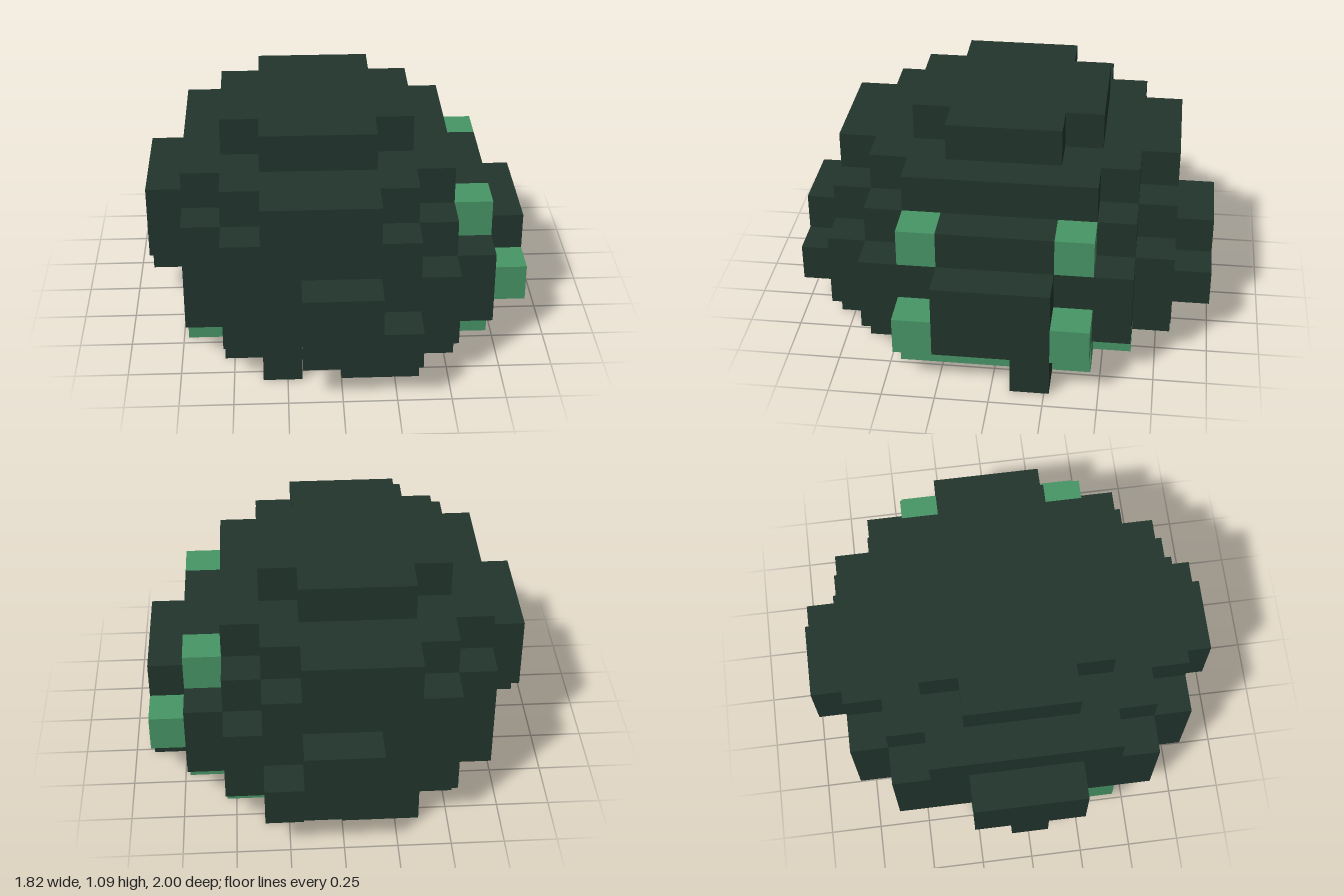
import * as THREE from 'three';
import { mergeGeometries } from 'three/addons/utils/BufferGeometryUtils.js';

const U = 2 / 11; // edge of one block

// Floor plans from the ground up: rows run back to front, columns from -x to +x.
// '#' is a dark block, 'o' a green one, '.' is empty.
const EMPTY = '..........';
const LAYERS = [
  ['footRing', [
    EMPTY, '...##.#...', '..#....o..', '........o.', '.o......o#', '.#......o.',
    '.#......o.', '.o......o.', '..#....#..', '...#.##...', EMPTY]],
  ['lowerWall', [
    '....###...', '..######..', '.##....##.', '.#......#o', '.#......##', '##......##',
    '.#......##', '.#......#o', '.##..o.##.', '..######..', '....###...']],
  ['middleBody', [
    '....##....', '..######..', '.########.', '.########.', '##########', '##########',
    '##########', '.########.', '.########.', '..######..', '....##....']],
  ['upperBody', [
    EMPTY, '..#####...', '.#######..', '.#######o.', '#########.', '#########.',
    '#########.', '.#######o.', '.#######..', '..#####...', EMPTY]],
  ['shoulder', [
    EMPTY, '...###....', '..#####...', '.#######..', '.#######..', '.#######..',
    '.#######..', '.#######..', '..#####...', '...###....', EMPTY]],
  ['crown', [
    EMPTY, EMPTY, EMPTY, '...###....', '..#####...', '..#####...',
    '..#####...', '...###....', EMPTY, EMPTY, EMPTY]],
];

const blockAt = (x, y, z) => LAYERS[y]?.[1][z]?.[x] ?? '.';

// One outward square for each side of a block
const SIDES = [
  [1, 0, 0], [-1, 0, 0], [0, 1, 0], [0, -1, 0], [0, 0, 1], [0, 0, -1],
].map(([x, y, z]) => {
  const face = new THREE.PlaneGeometry(U, U);
  if (x) face.rotateY(x * Math.PI / 2);
  if (y) face.rotateX(-y * Math.PI / 2);
  if (z < 0) face.rotateY(Math.PI);
  face.translate(x * U / 2, y * U / 2, z * U / 2);
  return { x, y, z, face };
});

// Outer skin of all blocks of one kind in one layer
function skin(y, kind) {
  const faces = [];
  for (let z = 0; z < 11; z++) {
    for (let x = 0; x < 10; x++) {
      if (blockAt(x, y, z) !== kind) continue;
      for (const s of SIDES) {
        if (blockAt(x + s.x, y + s.y, z + s.z) !== '.') continue;
        faces.push(s.face.clone().translate((x - 4.5) * U, (y + 0.5) * U, (z - 5) * U));
      }
    }
  }
  return faces.length ? mergeGeometries(faces) : null;
}

export function createModel() {
  const dark = new THREE.MeshStandardMaterial({ color: 0x22352d });
  dark.name = 'darkGreen';
  const bright = new THREE.MeshStandardMaterial({ color: 0x479666 });
  bright.name = 'brightGreen';

  const model = new THREE.Group();
  model.name = 'blockMound';
  LAYERS.forEach(([name], y) => {
    const layer = new THREE.Group();
    layer.name = name;
    for (const [kind, material, part] of [['#', dark, 'Blocks'], ['o', bright, 'Spots']]) {
      const geometry = skin(y, kind);
      if (!geometry) continue;
      const mesh = new THREE.Mesh(geometry, material);
      mesh.name = name + part;
      layer.add(mesh);
    }
    model.add(layer);
  });
  return model;
}
